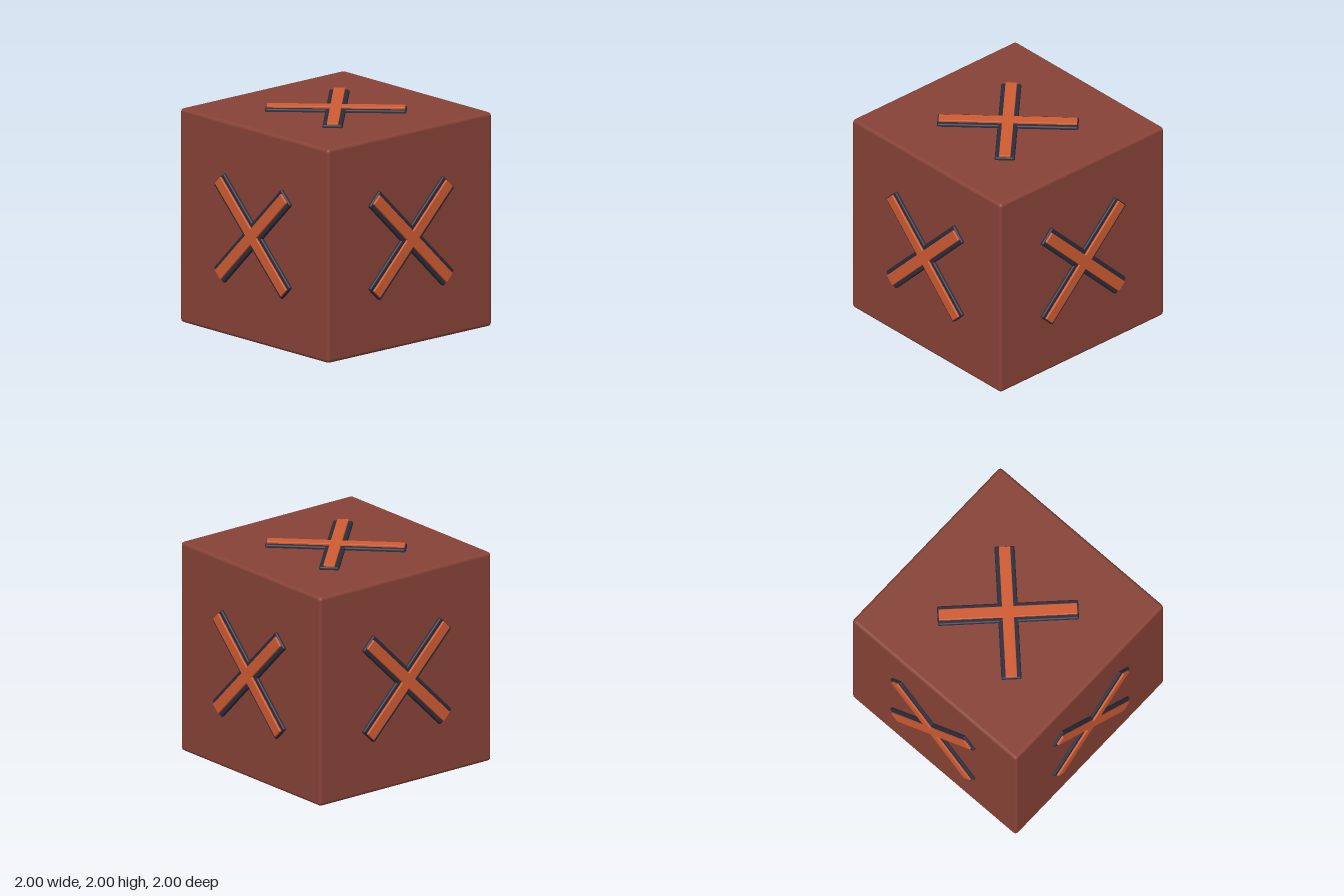
import * as THREE from 'three';
import { RoundedBoxGeometry } from 'three/addons/geometries/RoundedBoxGeometry.js';

const material = (name, color) => {
  const m = new THREE.MeshStandardMaterial({ color });
  m.name = name;
  return m;
};

export function createModel() {
  const brick = material('brick red', 0x884337);
  const navy = material('dark navy', 0x2d2c3c);
  const orange = material('bright orange', 0xd05c32);

  const model = new THREE.Group();
  model.name = 'crossedCube';

  // Main block with softly rounded edges
  const block = new THREE.Mesh(new RoundedBoxGeometry(1.91, 1.91, 1.91, 3, 0.03), brick);
  block.name = 'block';
  block.position.y = 1;
  model.add(block);

  // Bars of the crosses: [name, geometry, material, distance of the bar's middle from the cube centre]
  const layers = [
    ['crossBase', new RoundedBoxGeometry(1.22, 0.174, 0.06, 2, 0.014), navy, 0.952],
    ['crossInlay', new RoundedBoxGeometry(1.2, 0.1, 0.03, 2, 0.006), orange, 0.985],
  ];

  // One raised cross, facing +z before it is turned
  function makeCross(name) {
    const cross = new THREE.Group();
    cross.name = name;
    for (const [part, geometry, mat, depth] of layers) {
      for (const side of [-1, 1]) {
        const bar = new THREE.Mesh(geometry, mat);
        bar.name = part;
        bar.position.z = depth;
        bar.rotation.z = side * Math.PI / 4;
        cross.add(bar);
      }
    }
    return cross;
  }

  // A cross on each of the six faces
  const q = Math.PI / 2;
  const faces = [
    ['frontCross', 0, 0], ['backCross', 0, 2 * q],
    ['leftCross', 0, q], ['rightCross', 0, -q],
    ['topCross', -q, 0], ['bottomCross', q, 0],
  ];
  for (const [name, rx, ry] of faces) {
    const cross = makeCross(name);
    cross.position.y = 1;
    cross.rotation.set(rx, ry, 0);
    model.add(cross);
  }
  return model;
}
